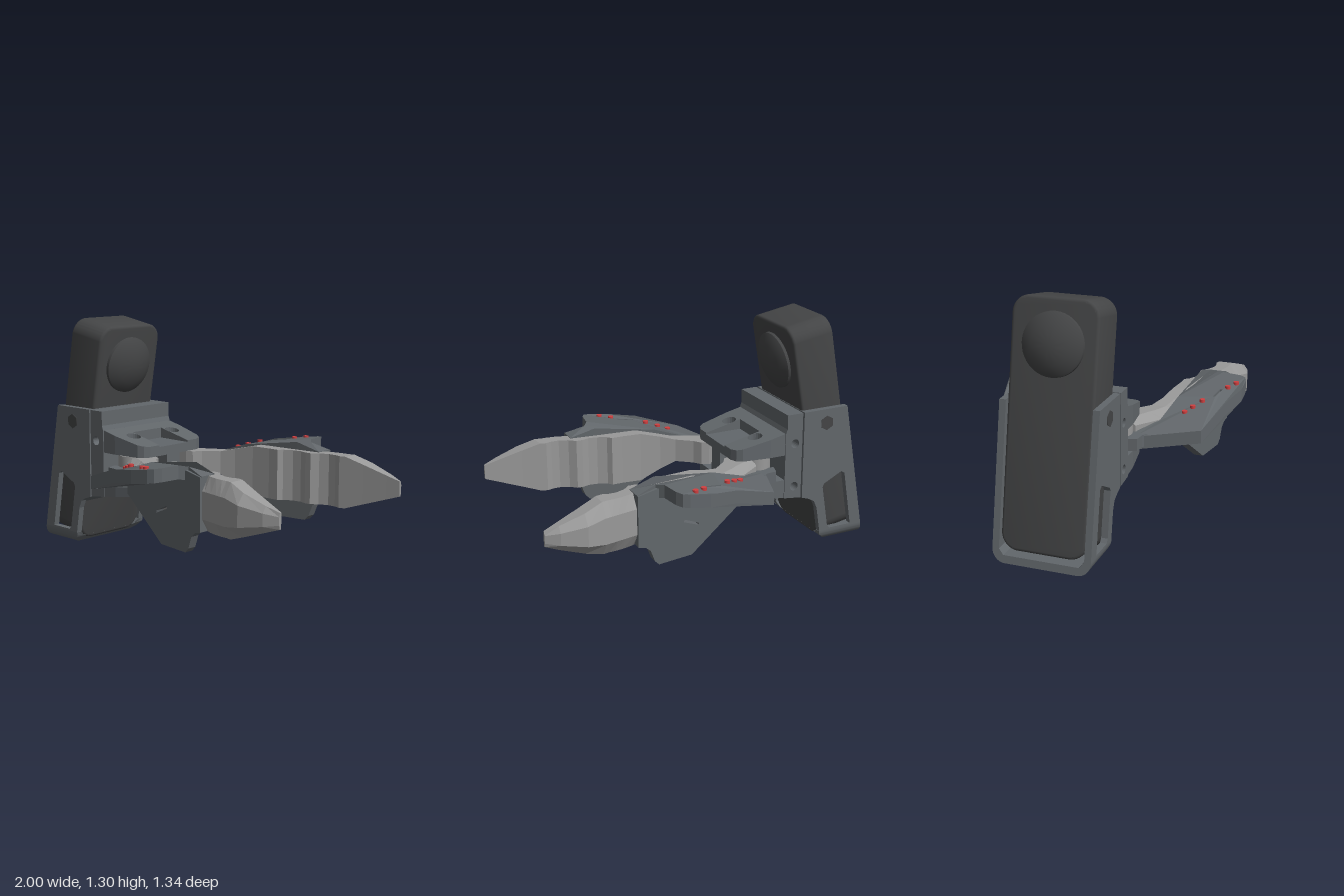
import * as THREE from 'three';
import { toCreasedNormals } from 'three/addons/utils/BufferGeometryUtils.js';

const paint = (color) => new THREE.MeshStandardMaterial({ color });
const V = (pts) => pts.map(([x, y]) => new THREE.Vector2(x, y));

function circle(x, y, r) {
  return new THREE.Path().absarc(x, y, r, 0, Math.PI * 2, true);
}

// Extrude a front outline (x, y) from z0 to z1
function sideSlab(pts, z0, z1, holes = []) {
  const shape = new THREE.Shape(V(pts));
  shape.holes = holes;
  const geo = new THREE.ExtrudeGeometry(shape, { depth: z1 - z0, bevelEnabled: false, curveSegments: 10 });
  return geo.translate(0, 0, z0);
}

// Extrude a plan outline (x, z) from y0 to y1
function planSlab(pts, y0, y1, holes = []) {
  const shape = new THREE.Shape(V(pts.map(([x, z]) => [x, -z])));
  shape.holes = holes;
  const geo = new THREE.ExtrudeGeometry(shape, { depth: y1 - y0, bevelEnabled: false, curveSegments: 10 });
  return geo.rotateX(-Math.PI / 2).translate(0, y0, 0);
}

// Move every vertex by a rule
function warp(geo, rule) {
  const p = geo.attributes.position;
  const v = new THREE.Vector3();
  for (let i = 0; i < p.count; i++) {
    rule(v.fromBufferAttribute(p, i));
    p.setXYZ(i, v.x, v.y, v.z);
  }
  geo.computeVertexNormals();
  return geo;
}

// Linear interpolation through [x, y] pairs
function ramp(table, x) {
  if (x <= table[0][0]) return table[0][1];
  for (let i = 1; i < table.length; i++) {
    const [x0, y0] = table[i - 1], [x1, y1] = table[i];
    if (x <= x1) return y0 + (y1 - y0) * (x - x0) / (x1 - x0);
  }
  return table[table.length - 1][1];
}

// Finger lofted through six-sided sections along x
function fingerGeometry() {
  const inner = [[-0.3, 0.11], [-0.2, 0.12], [-0.16, 0.135], [-0.13, 0.18], [-0.05, 0.245], [0.03, 0.28], [0.14, 0.305],
    [0.25, 0.315], [0.31, 0.315], [0.33, 0.34], [0.38, 0.364], [0.43, 0.37], [0.47, 0.358], [0.505, 0.358],
    [0.54, 0.39], [0.59, 0.41], [0.634, 0.41], [0.666, 0.4], [0.7, 0.408], [0.8, 0.432], [0.93, 0.46], [1, 0.475]];
  const outer = [[-0.3, 0.24], [-0.17, 0.33], [0.4, 0.475], [0.8, 0.555], [0.93, 0.525], [1, 0.49]];
  const low = [[-0.3, 0.435], [-0.05, 0.435], [0.14, 0.33], [0.7, 0.33], [1, 0.43]];
  const high = [[-0.3, 0.565], [-0.05, 0.565], [0.14, 0.61], [0.7, 0.61], [1, 0.51]];
  const pos = [], idx = [], n = 6;
  inner.forEach(([x, zi]) => {
    const zo = ramp(outer, x), b = ramp(low, x), t = ramp(high, x);
    const c = (zo - zi) * 0.35, d = (t - b) * 0.25;
    pos.push(x, b, zi, x, t, zi, x, t, zo - c, x, t - d, zo, x, b + d, zo, x, b, zo - c);
  });
  const last = (inner.length - 1) * n;
  for (let s = 0; s < last; s += n) {
    for (let j = 0; j < n; j++) {
      const a = s + j, a2 = s + (j + 1) % n;
      idx.push(a, a2, a2 + n, a, a2 + n, a + n);
    }
  }
  for (let j = 1; j < n - 1; j++) idx.push(last, last + j, last + j + 1, 0, j + 1, j);
  const geo = new THREE.BufferGeometry();
  geo.setAttribute('position', new THREE.Float32BufferAttribute(pos, 3));
  geo.setIndex(idx);
  const flat = geo.toNonIndexed();
  flat.computeVertexNormals();
  return flat;
}

export function createModel() {
  const model = new THREE.Group();
  const shell = paint(0x62676b), dark = paint(0x444546), light = paint(0x999999), red = paint(0xd04040);
  const add = (name, geo, mat, parent = model) => {
    const mesh = new THREE.Mesh(geo, mat);
    mesh.name = name;
    parent.add(mesh);
    return mesh;
  };

  // Holster: two windowed side walls, front wall and rounded base
  const wall = [[-0.988, 0.07], [-0.71, 0.07], [-0.685, 0.22], [-0.665, 0.265], [-0.63, 0.285], [-0.585, 0.3],
    [-0.585, 0.8], [-0.86, 0.8]];
  const windowPts = [[-0.915, 0.08], [-0.775, 0.08], [-0.76, 0.1], [-0.72, 0.34], [-0.73, 0.36], [-0.84, 0.415], [-0.862, 0.4]];
  for (const s of [1, -1]) {
    const z0 = s > 0 ? 0.225 : -0.26;
    add('holsterSide', sideSlab(wall, z0, z0 + 0.035, [new THREE.Path(V(windowPts))]), shell);
    const screw = add('hexScrew', new THREE.CylinderGeometry(0.042, 0.042, 0.01, 6), dark);
    screw.rotation.x = Math.PI / 2;
    screw.position.set(-0.73, 0.72, s * 0.258);
  }
  add('holsterFront', sideSlab([[-0.69, 0.25], [-0.665, 0.265], [-0.63, 0.285], [-0.585, 0.3], [-0.585, 0.8], [-0.605, 0.8]],
    -0.225, 0.225), shell);

  const base = new THREE.Shape();
  base.moveTo(0.26, 0.07);
  base.absarc(0.19, 0.07, 0.07, 0, -Math.PI / 2, true);
  base.absarc(-0.19, 0.07, 0.07, -Math.PI / 2, -Math.PI, true);
  base.lineTo(-0.225, 0.07);
  base.lineTo(-0.2, 0.04);
  base.lineTo(0.2, 0.04);
  base.lineTo(0.225, 0.07);
  const baseGeo = new THREE.ExtrudeGeometry(base, { depth: 0.28, bevelEnabled: false, curveSegments: 8 }).rotateY(Math.PI / 2);
  warp(baseGeo, (v) => {
    v.x += -1 + 0.175 * v.y - (v.x > 0.1 ? Math.max(0, 0.05 - v.y) * 0.9 : 0);
  });
  add('holsterBase', toCreasedNormals(baseGeo, 0.6), shell);
  add('basePlug', new THREE.CylinderGeometry(0.04, 0.04, 0.004, 24), dark).position.set(-0.88, 0, 0);

  // Leaning battery pack with a dome on each broad face
  const pack = new THREE.Group();
  pack.name = 'batteryPack';
  pack.position.set(-0.74, 0.66, 0);
  pack.rotation.z = -THREE.MathUtils.degToRad(10);
  model.add(pack);
  const w = 0.21, h = 0.615, r = 0.075, body = new THREE.Shape();
  body.absarc(w - r, h - r, r, 0, Math.PI / 2);
  body.absarc(r - w, h - r, r, Math.PI / 2, Math.PI);
  body.absarc(r - w, r - h, r, Math.PI, Math.PI * 1.5);
  body.absarc(w - r, r - h, r, Math.PI * 1.5, Math.PI * 2);
  const bodyGeo = new THREE.ExtrudeGeometry(body, { depth: 0.22, bevelSize: 0.015, bevelThickness: 0.015, bevelSegments: 3, curveSegments: 8 });
  add('batteryBody', toCreasedNormals(bodyGeo.translate(0, 0, -0.11).rotateY(Math.PI / 2), 0.7), dark, pack);
  const dome = [[0, -0.19], [0.05, -0.186], [0.1, -0.173], [0.145, -0.15], [0.158, -0.14], [0.16, -0.12]];
  const lens = [...dome, ...dome.map(([a, b]) => [a, -b]).reverse()];
  const lensGeo = toCreasedNormals(new THREE.LatheGeometry(V(lens), 40), 0.5).rotateZ(-Math.PI / 2);
  add('batteryDomes', lensGeo, dark, pack).position.y = 0.405;

  // Palm: mounting block, sloped upper and lower plates, centre column
  add('mountBlock', sideSlab([[-0.575, 0.305], [-0.47, 0.318], [-0.47, 0.695], [-0.48, 0.72], [-0.48, 0.8], [-0.575, 0.8]],
    -0.26, 0.26, [circle(-0.53, 0.63, 0.025), circle(-0.53, 0.38, 0.025)]), shell);
  add('mountJoint', new THREE.BoxGeometry(0.03, 0.4, 0.3).translate(-0.58, 0.56, 0), shell);
  const half = [[-0.475, 0.255], [-0.38, 0.255], [-0.22, 0.235], [-0.19, 0.215], [-0.175, 0.18]];
  const flip = (pts) => pts.map(([x, z]) => [x, -z]).reverse();
  const plate = [...half, ...flip(half)];
  const rim = [[-0.175, 0.11], [-0.39, 0.11]];
  const bores = (rad) => [circle(-0.34, 0.15, rad), circle(-0.34, -0.15, rad)];
  add('upperPlate', planSlab(plate, 0.57, 0.62, bores(0.03)), shell);
  const rimGeo = planSlab([...half, ...rim, ...flip(rim), ...flip(half)], 0.62, 0.63, bores(0.04));
  warp(rimGeo, (v) => { if (v.y > 0.625) v.y = 0.63 - 0.22 * (v.x + 0.175); });
  add('upperRim', rimGeo, shell);
  const lowerGeo = planSlab(plate, 0.36, 0.425, bores(0.03));
  warp(lowerGeo, (v) => { if (v.y < 0.4) v.y = 0.36 + 0.14 * (v.x + 0.175); });
  add('lowerPlate', lowerGeo, shell);
  add('centreColumn', new THREE.BoxGeometry(0.29, 0.16, 0.1).translate(-0.325, 0.497, 0), shell);

  // One claw: hub, finger, sloped wing, fin and lamps; mirrored for the other side
  const wingTop = [[-0.33, 0.49], [-0.18, 0.53], [0.03, 0.6], [0.38, 0.652], [0.52, 0.613]];
  const wing = [[-0.35, 0.25], [-0.22, 0.57], [0.03, 0.632], [0.2, 0.672], [0.31, 0.668], [0.345, 0.655], [0.365, 0.62],
    [0.38, 0.52], [0.41, 0.48], [0.52, 0.505], [0.52, 0.41], [0.38, 0.395], [0.03, 0.365], [-0.18, 0.33], [-0.26, 0.24]];
  const slot = new THREE.Path(V([[0.08, -0.545], [0.17, -0.56], [0.17, -0.573], [0.08, -0.558]]));
  const fin = [[-0.1, 0.42], [0.2, 0.21], [0.4, 0.21], [0.425, 0.235], [0.45, 0.3], [0.48, 0.325], [0.52, 0.335],
    [0.52, 0.61], [0.38, 0.63], [0.03, 0.56], [-0.1, 0.5]];
  const finSlot = new THREE.Path(V([[0.155, 0.365], [0.25, 0.405], [0.245, 0.418], [0.16, 0.38]]));
  const lamps = [[-0.09, 0.44], [-0.04, 0.47], [0.02, 0.505], [0.2, 0.595], [0.26, 0.625]];

  for (const s of [1, -1]) {
    const claw = new THREE.Group();
    claw.name = s > 0 ? 'rightClaw' : 'leftClaw';
    claw.scale.z = s;
    model.add(claw);
    const ring = new THREE.Shape().absarc(-0.34, -0.15, 0.085, 0, Math.PI * 2);
    ring.holes = [circle(-0.34, -0.15, 0.03)];
    const hub = new THREE.ExtrudeGeometry(ring, { depth: 0.13, bevelEnabled: false, curveSegments: 16 });
    add('hub', toCreasedNormals(hub.rotateX(-Math.PI / 2).translate(0, 0.433, 0), 0.6), light, claw);
    add('finger', fingerGeometry(), light, claw);
    add('arm', planSlab([[-0.42, 0.22], [-0.4, 0.285], [-0.34, 0.29], [-0.2, 0.4], [-0.12, 0.36], [-0.24, 0.22]], 0.435, 0.5), shell, claw);
    const wingGeo = planSlab(wing, 0, 0.07, [slot]);
    warp(wingGeo, (v) => { v.y += ramp(wingTop, v.x) - 0.07; });
    add('wing', wingGeo, shell, claw);
    const finGeo = sideSlab(fin, 0.385, 0.435, [finSlot]);
    warp(finGeo, (v) => { v.z += 0.15 * v.x; });
    add('fin', finGeo, shell, claw);
    for (const [x, z] of lamps) {
      add('lamp', new THREE.CylinderGeometry(0.015, 0.015, 0.016, 12), red, claw).position.set(x, ramp(wingTop, x) + 0.002, z);
    }
  }
  return model;
}
